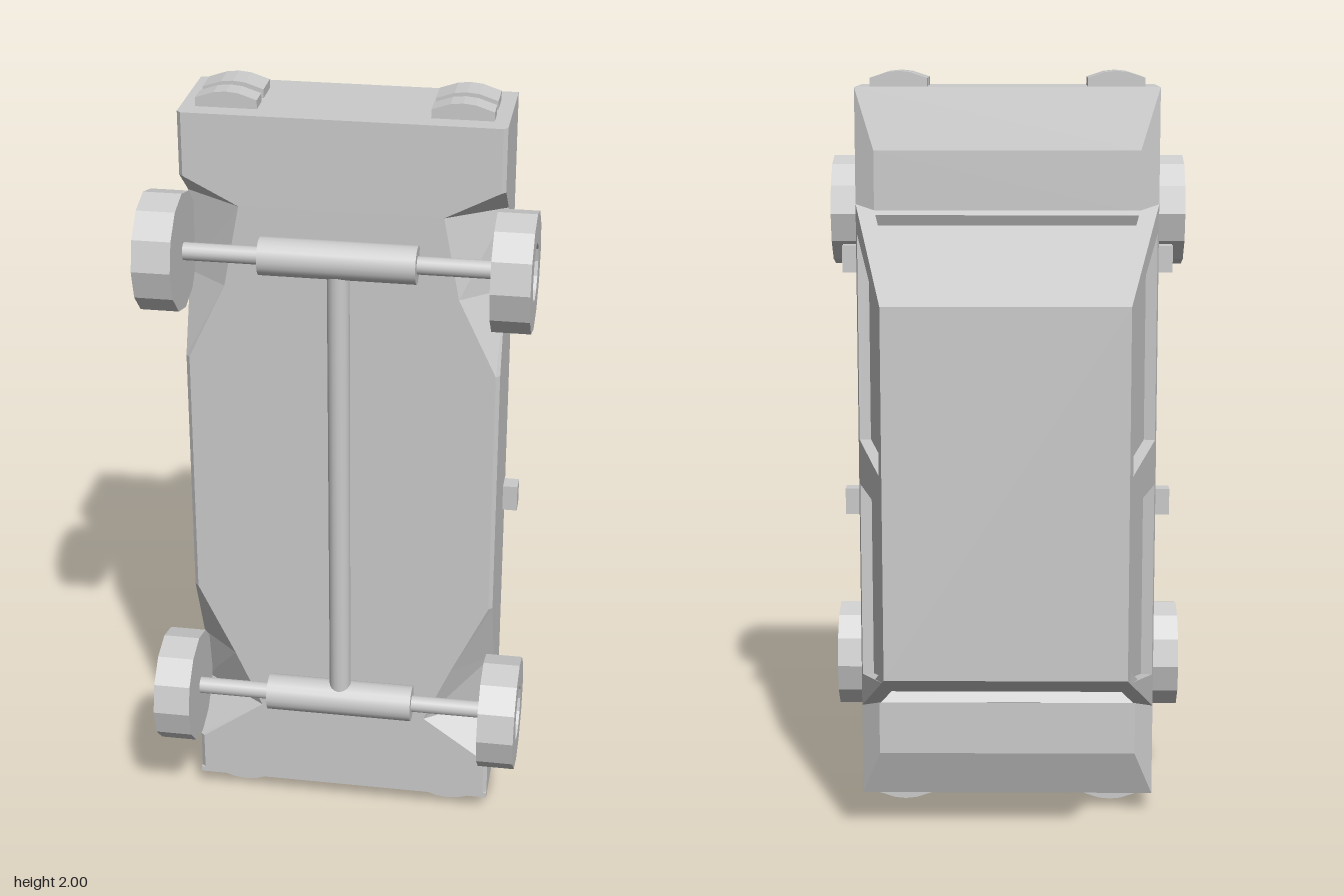
import * as THREE from 'three';
import { ConvexGeometry } from 'three/addons/geometries/ConvexGeometry.js';

const flat = new THREE.MeshStandardMaterial({ color: 0xcccccc, flatShading: true });
const smooth = new THREE.MeshStandardMaterial({ color: 0xcccccc });
const V = (x, y, z) => new THREE.Vector3(x, y, z);

function add(parent, name, geometry, x = 0, y = 0, z = 0, material = flat) {
  const mesh = new THREE.Mesh(geometry, material);
  mesh.name = name;
  mesh.position.set(x, y, z);
  parent.add(mesh);
  return mesh;
}

// Lower body: cross-sections along y, lower edges cut away at the wheel arches
function bodyGeometry() {
  // [y, z of side's lower edge, half width of the floor]
  const stations = [
    [0.065, 0.265, 0.385], [0.17, 0.265, 0.385], [0.29, 0.15, 0.22], [0.45, 0.18, 0.29],
    [0.65, 0.265, 0.385], [1.32, 0.265, 0.385], [1.52, 0.19, 0.29], [1.73, 0.18, 0.25],
    [1.8, 0.265, 0.385], [1.96, 0.265, 0.385]];
  const rings = stations.map(([y, zs, xi]) => [
    V(-0.395, y, zs), V(-xi, y, 0.275), V(xi, y, 0.275),
    V(0.395, y, zs), V(0.395, y, 0), V(-0.395, y, 0)]);
  const points = [];
  for (let j = 0; j < rings.length - 1; j++) {
    for (let i = 0; i < 6; i++) {
      const k = (i + 1) % 6, a = rings[j], b = rings[j + 1];
      points.push(a[i], a[k], b[k], a[i], b[k], b[i]);
    }
  }
  const first = rings[0], last = rings[rings.length - 1];
  for (let i = 1; i < 5; i++) {
    points.push(first[0], first[i + 1], first[i], last[0], last[i], last[i + 1]);
  }
  const geometry = new THREE.BufferGeometry().setFromPoints(points);
  geometry.computeVertexNormals();
  return geometry;
}

// Flat cabin wall with recessed windows; corners run counter-clockwise from outside
function addPanel(parent, name, corners, windows = [], depth = 0.03) {
  const center = V(0, 0.98, -0.2);
  const u = corners[1].clone().sub(corners[0]).normalize();
  const n = u.clone().cross(corners[3].clone().sub(corners[0])).normalize();
  if (n.dot(corners[0].clone().sub(center)) < 0) {
    return addPanel(parent, name, [...corners].reverse(), windows, depth);
  }
  const v = n.clone().cross(u);
  const project = p => {
    const d = p.clone().sub(corners[0]);
    return new THREE.Vector2(d.dot(u), d.dot(v));
  };
  const matrix = new THREE.Matrix4().makeBasis(u, v, n)
    .setPosition(corners[0].clone().addScaledVector(n, -depth));
  const pane = new THREE.ShapeGeometry(new THREE.Shape(corners.map(project)));
  const frame = new THREE.Shape(corners.map(project));
  windows.forEach(w => frame.holes.push(new THREE.Path(w.map(project))));
  add(parent, name, new THREE.ExtrudeGeometry(frame, { depth, bevelEnabled: false }).applyMatrix4(matrix));
  if (windows.length) add(parent, name + 'Glass', pane.applyMatrix4(matrix));
}

function createCabin() {
  const cabin = new THREE.Group();
  cabin.name = 'cabin';
  const roofZ = -0.457;
  const base = (s, y) => V(s * 0.395, y, 0), roof = (s, y) => V(s * 0.305, y, roofZ);
  addPanel(cabin, 'roof', [roof(-1, 0.51), roof(1, 0.51), roof(1, 1.45), roof(-1, 1.45)]);
  // Windshield and rear window
  for (const [name, yb, yr] of [['windshield', 0.3, 0.51], ['rearWindow', 1.66, 1.45]]) {
    const at = (x, z) => V(x, yb + (yr - yb) * z / roofZ, z);
    addPanel(cabin, name, [base(-1, yb), base(1, yb), roof(1, yr), roof(-1, yr)],
      [[at(-0.34, -0.053), at(0.34, -0.053), at(0.27, -0.413), at(-0.27, -0.413)]]);
  }
  // Sides, each with two windows
  for (const s of [-1, 1]) {
    const at = (y, z) => V(s * (0.395 + 0.09 * z / -roofZ), y, z);
    addPanel(cabin, 'sideWall', [base(s, 0.3), base(s, 1.66), roof(s, 1.45), roof(s, 0.51)], [
      [at(0.395, -0.022), at(0.92, -0.022), at(0.937, -0.407), at(0.49, -0.407)],
      [at(1.04, -0.022), at(1.585, -0.022), at(1.43, -0.407), at(1.022, -0.407)]]);
  }
  return cabin;
}

// Raised lid between a body end and the cabin
function lidGeometry(yEnd, yStep, yCabin, z) {
  const points = [];
  for (const s of [-1, 1]) {
    points.push(V(s * 0.395, yEnd, 0), V(s * 0.395, yCabin, 0),
      V(s * 0.345, yStep, z), V(s * 0.345, yCabin, z));
  }
  return new ConvexGeometry(points);
}

// Nose plate pierced by a grid of grille openings
function grilleGeometry() {
  const rect = (Type, x0, z0, x1, z1) => new Type([
    new THREE.Vector2(x0, z0), new THREE.Vector2(x1, z0),
    new THREE.Vector2(x1, z1), new THREE.Vector2(x0, z1)]);
  const plate = rect(THREE.Shape, -0.395, 0, 0.395, 0.275);
  for (let i = 0; i < 12; i++) {
    for (let j = 0; j < 5; j++) {
      const x = -0.198 + i * 0.0335, z = 0.085 + j * 0.031;
      plate.holes.push(rect(THREE.Path, x, z, x + 0.025, z + 0.021));
    }
  }
  return new THREE.ExtrudeGeometry(plate, { depth: 0.015, bevelEnabled: false }).rotateX(Math.PI / 2);
}

// Lamp with a faceted, bulging face
function lampGeometry(depth) {
  const profile = [[-0.075, -0.005], [0.075, -0.005], [0.075, 0.022], [0.03, 0.037], [0, 0.04], [-0.03, 0.037], [-0.075, 0.022]];
  const shape = new THREE.Shape(profile.map(p => new THREE.Vector2(...p)));
  return new THREE.ExtrudeGeometry(shape, { depth, bevelEnabled: false });
}

export function createModel() {
  const car = new THREE.Group();
  car.name = 'car';

  add(car, 'body', bodyGeometry());
  add(car, 'grille', grilleGeometry(), 0, 0.065, 0);
  add(car, 'hood', lidGeometry(0.05, 0.18, 0.33, -0.05));
  add(car, 'trunkLid', lidGeometry(1.96, 1.8, 1.64, -0.03));
  car.add(createCabin());

  const wheelProfile = [[0, -0.0475], [0.148, -0.0475], [0.148, 0.0475], [0.072, 0.0475], [0.052, 0.005], [0, 0.005]]
    .map(p => new THREE.Vector2(...p));
  const wheel = new THREE.LatheGeometry(wheelProfile, 12);

  // Axles and wheels
  for (const y of [0.36, 1.62]) {
    add(car, 'axle', new THREE.CylinderGeometry(0.022, 0.022, 0.8, 16), 0, y, 0.31, smooth).rotation.z = Math.PI / 2;
    add(car, 'axleHousing', new THREE.CylinderGeometry(0.047, 0.047, 0.385, 20), 0, y, 0.31, smooth).rotation.z = Math.PI / 2;
    for (const s of [-1, 1]) {
      add(car, 'wheel', wheel, s * 0.4275, y, 0.31).rotation.z = -s * Math.PI / 2;
    }
  }
  add(car, 'driveShaft', new THREE.CylinderGeometry(0.028, 0.028, 1.24, 16), 0, 0.99, 0.312, smooth);

  for (const s of [-1, 1]) {
    // Door handles
    for (const y of [0.865, 1.515]) {
      add(car, 'doorHandle', new THREE.BoxGeometry(0.06, 0.07, 0.046), s * 0.403, y, 0.037);
    }
    // Tail lamps and headlamps
    add(car, 'tailLamp', lampGeometry(0.08), s * 0.284, 1.96, 0.062);
    add(car, 'tailLamp', lampGeometry(0.055), s * 0.284, 1.96, 0.17);
    add(car, 'headlamp', lampGeometry(0.045), s * 0.284, 0.04, 0.09).rotation.z = Math.PI;
    add(car, 'headlamp', lampGeometry(0.065), s * 0.284, 0.04, 0.158).rotation.z = Math.PI;
  }
  return car;
}
